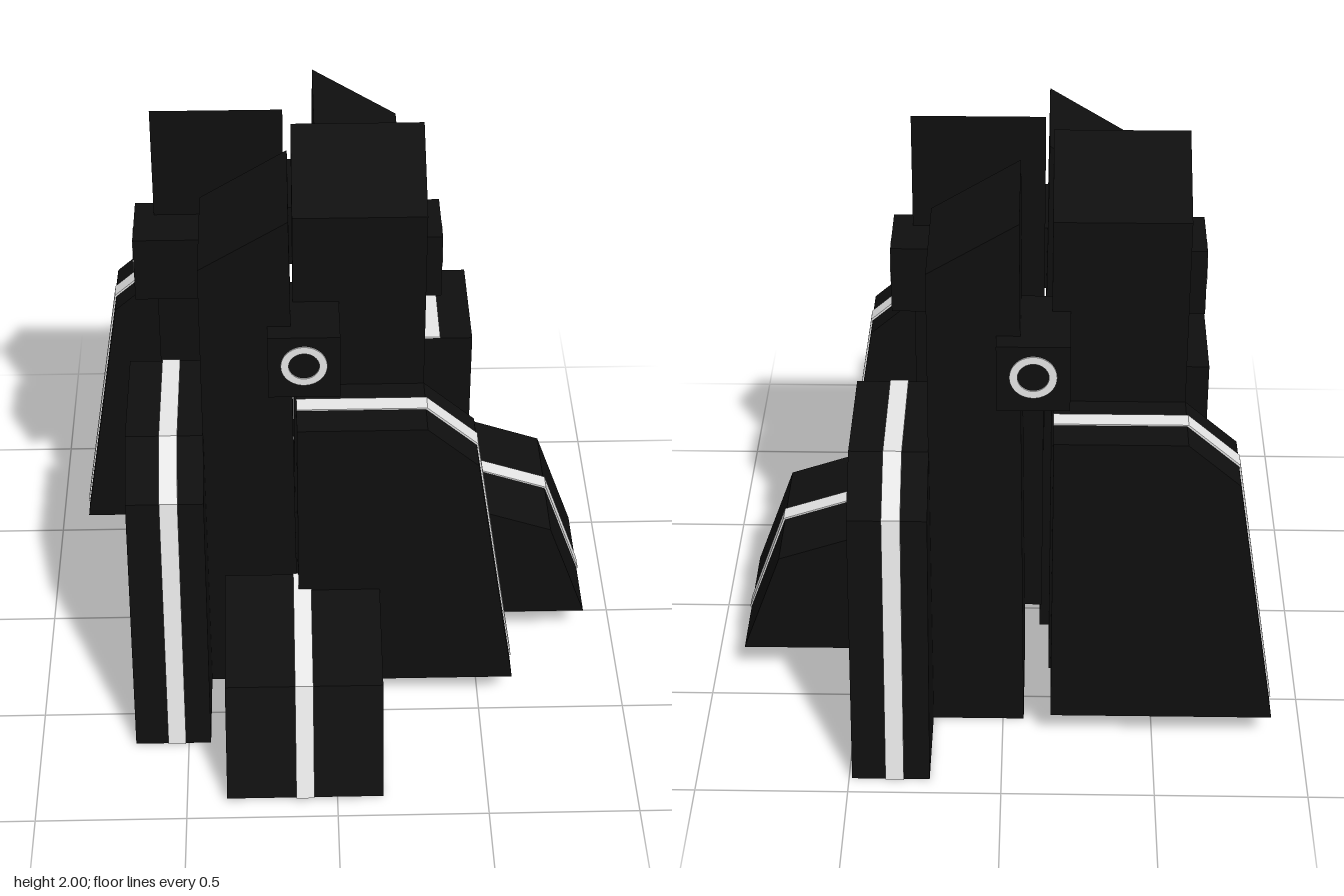
import * as THREE from 'three';

const black = new THREE.MeshStandardMaterial({ color: 0x0f0f0f });
black.name = 'black shell';
const white = new THREE.MeshStandardMaterial({ color: 0xececec });
white.name = 'white trim';

const toShape = pts => new THREE.Shape(pts.map(p => new THREE.Vector2(p[0], p[1])));

// Prism with an (x, y) outline, spanning z0..z1
function prism(pts, z0, z1) {
  const g = new THREE.ExtrudeGeometry(toShape(pts), { depth: z1 - z0, bevelEnabled: false });
  return g.translate(0, 0, z0);
}

function add(parent, name, geometry, material) {
  const mesh = new THREE.Mesh(geometry, material);
  mesh.name = name;
  parent.add(mesh);
}

// Thin ribbon following the upper and outer edge of a slab
function stripe(path, z0, z1) {
  const d = 0.005;
  const outer = path.map(([x, y], i) => [
    x + (i === 0 ? 0 : d),
    y + (i === path.length - 1 ? 0 : d),
  ]);
  return prism([...path, ...outer.reverse()], z0, z1);
}

// Edge paths run from the inner top to the outer foot
const FIN = [[0.02, 1.08], [0.44, 1.08], [0.61, 0.93], [0.755, 0]];
const FOOT = [[0.5, 0.53], [0.9, 0.39], [1.035, 0.015]];

// One quarter: +x points outward, +z sideways
function quarter(withFoot, footShift) {
  const q = new THREE.Group();

  // Tower with a sloping roof and a slightly tapered inner wall
  const tower = prism([[0.025, 0], [0.335, 0], [0.33, 1.725], [0.045, 1.9]], -0.44, -0.0125);
  add(q, 'tower', tower.rotateY(-Math.PI / 2), black);

  // Tall side fin and its stripe
  add(q, 'fin', prism([...FIN, [0.02, 0]], 0.33, 0.585), black);
  add(q, 'finStripe', stripe(FIN, 0.415, 0.475), white);

  // Square socket with a ring on its face
  const socket = new THREE.BoxGeometry(0.315, 0.23, 0.23);
  add(q, 'socket', socket.translate(0.3475, 1.395, 0), black);
  const ringShape = new THREE.Shape().absarc(0, 0, 0.074, 0, Math.PI * 2);
  ringShape.holes.push(new THREE.Path().absarc(0, 0, 0.049, 0, Math.PI * 2, true));
  const ring = new THREE.ExtrudeGeometry(ringShape, { depth: 0.005, bevelEnabled: false, curveSegments: 24 });
  add(q, 'ring', ring.rotateY(Math.PI / 2).translate(0.505, 1.403, 0), white);

  // Low foot block and its stripe
  if (withFoot) {
    add(q, 'foot', prism([...FOOT, [0.5, 0.015]], footShift - 0.26, footShift + 0.26), black);
    add(q, 'footStripe', stripe(FOOT, footShift - 0.03, footShift + 0.03), white);
  }
  return q;
}

export function createModel() {
  const model = new THREE.Group();
  // Two interlocking pairs: one raised, one set further out
  const pairs = [
    { name: 'raised', x: -0.14, z: -0.135, lift: 0.1, out: 0, turn: 0, shift: 0.005 },
    { name: 'lower', x: -0.095, z: -0.143, lift: 0, out: 0.035, turn: -Math.PI / 2, shift: 0.012 },
  ];
  for (const p of pairs) {
    for (let i = 0; i < 2; i++) {
      const q = quarter(i === 0, p.shift);
      q.position.x = p.out;
      const arm = new THREE.Group();
      arm.name = p.name + (i === 0 ? 'FrontQuarter' : 'BackQuarter');
      arm.add(q);
      arm.position.set(p.x, p.lift, p.z);
      arm.rotation.y = p.turn + i * Math.PI;
      model.add(arm);
    }
  }
  return model;
}
